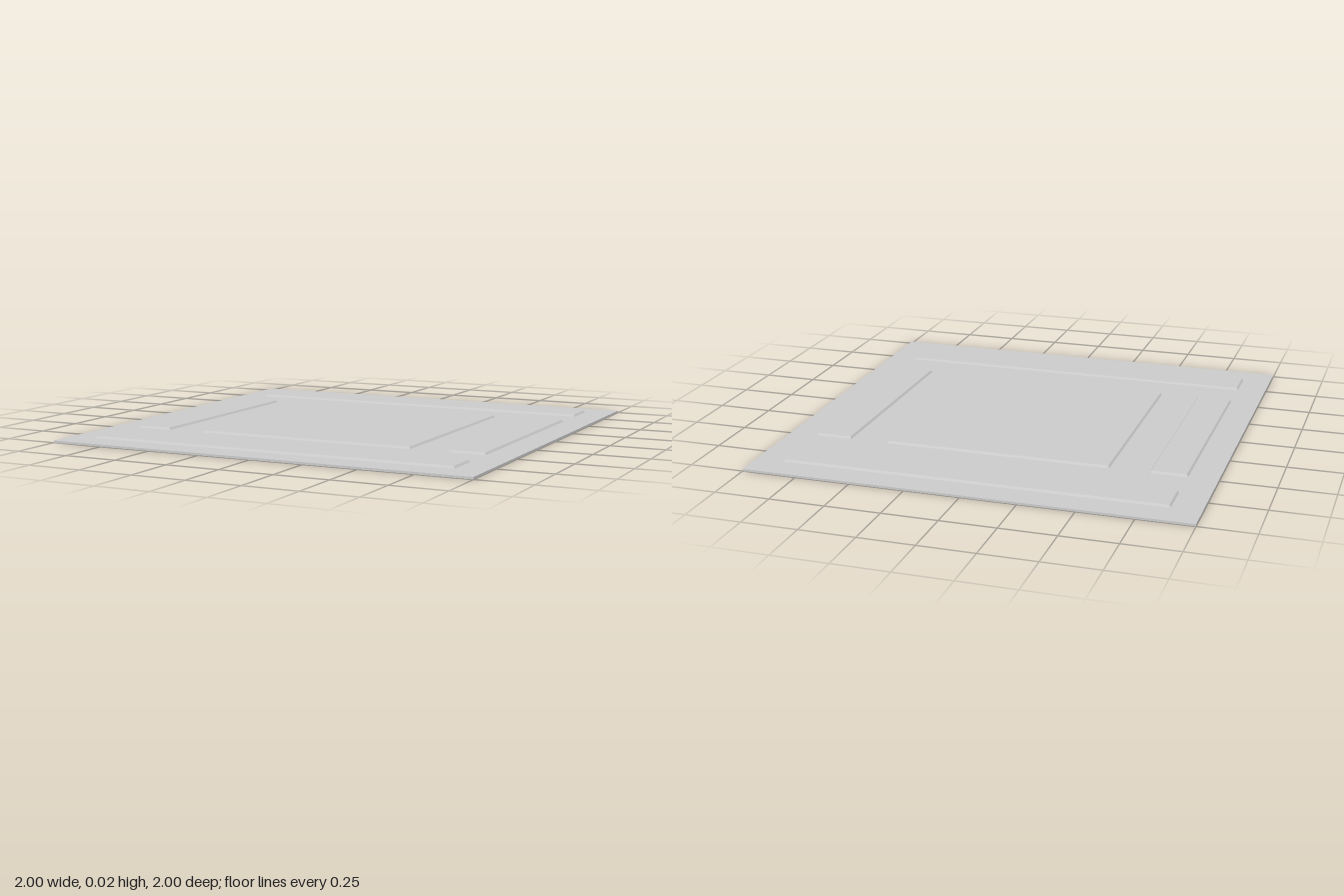
import * as THREE from 'three';

const PLATE = 0.01, TOP = 0.02, INSET = 0.007;
const material = new THREE.MeshStandardMaterial({ color: 0xcccccc, flatShading: true });

// Raised panel whose upper rim is slightly narrower than its foot
function raisedPanel(name, width, depth, x, z) {
  const height = TOP - PLATE;
  const geometry = new THREE.BoxGeometry(width, height, depth);
  const p = geometry.attributes.position;
  for (let i = 0; i < p.count; i++) {
    if (p.getY(i) > 0) {
      p.setX(i, p.getX(i) - Math.sign(p.getX(i)) * INSET);
      p.setZ(i, p.getZ(i) - Math.sign(p.getZ(i)) * INSET);
    }
  }
  geometry.computeVertexNormals();
  const mesh = new THREE.Mesh(geometry, material);
  mesh.name = name;
  mesh.position.set(x, PLATE + height / 2, z);
  return mesh;
}

export function createModel() {
  const model = new THREE.Group();
  model.name = 'panelledTile';

  // Thin square base
  const plate = new THREE.Mesh(new THREE.BoxGeometry(2, PLATE, 2), material);
  plate.name = 'basePlate';
  plate.position.y = PLATE / 2;
  model.add(plate);

  // Square centre panel
  model.add(raisedPanel('centrePanel', 1.04, 1.04, 0, 0));

  // Long panels front and back, short panels left and right
  for (const s of [1, -1]) {
    model.add(raisedPanel(s > 0 ? 'frontPanel' : 'backPanel', 1.735, 0.17, 0, s * 0.7825));
    model.add(raisedPanel(s > 0 ? 'leftPanel' : 'rightPanel', 0.17, 1.04, s * 0.7825, 0));
  }
  return model;
}
